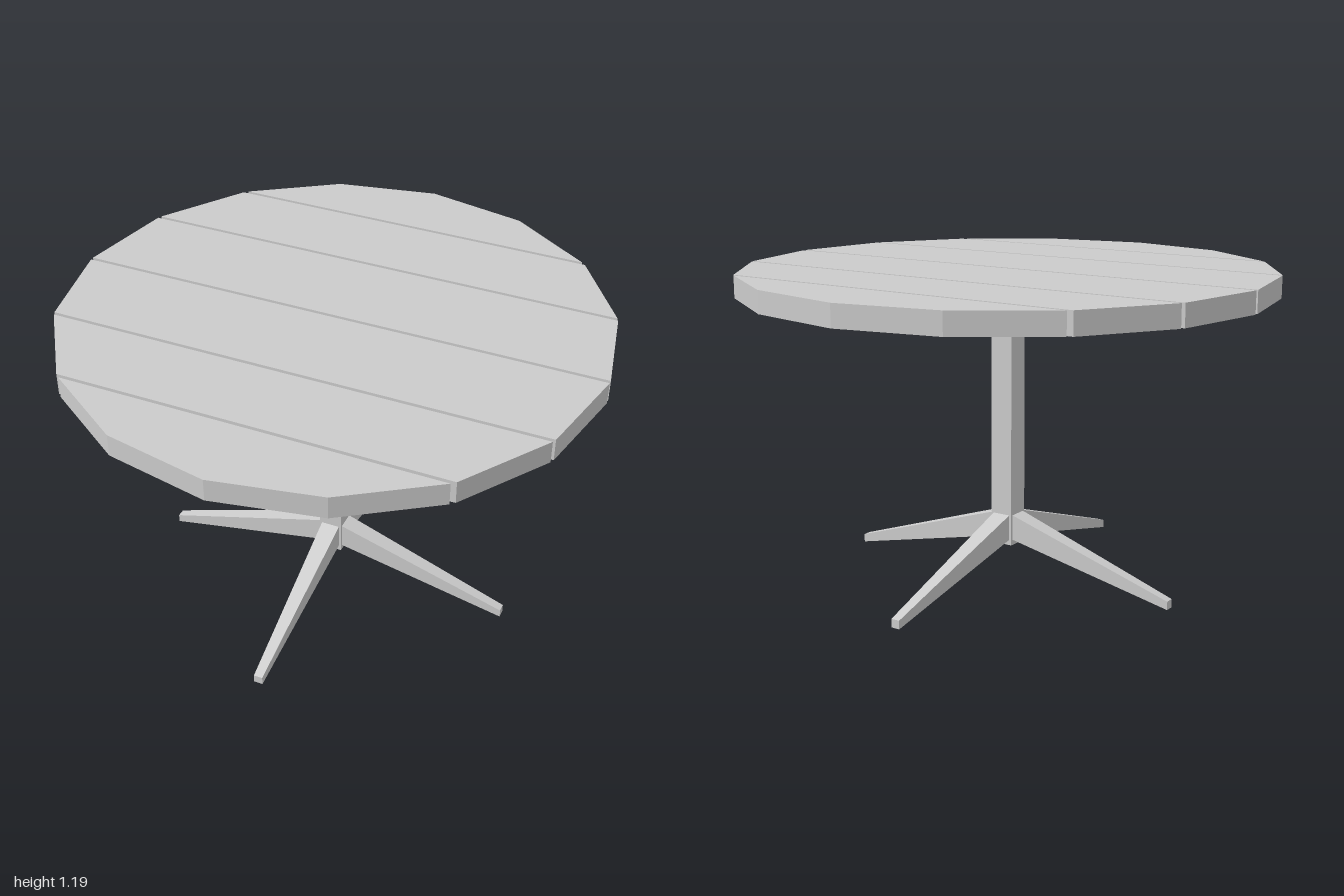
import * as THREE from 'three';

const material = new THREE.MeshStandardMaterial({ color: 0xcccccc, flatShading: true });

function add(group, geometry, name) {
  const mesh = new THREE.Mesh(geometry, material);
  mesh.name = name;
  group.add(mesh);
  return mesh;
}

// Half-width of the sixteen-sided top at depth z
const corner = (k) => [Math.cos(k * Math.PI / 8), Math.sin(k * Math.PI / 8)];
function halfWidth(z) {
  const k = Math.min(3, Math.floor(Math.asin(Math.abs(z)) / (Math.PI / 8)));
  const [x0, z0] = corner(k);
  const [x1, z1] = corner(k + 1);
  return x0 + (x1 - x0) * (Math.abs(z) - z0) / (z1 - z0);
}

// One plank of the top between depths za and zb; outer planks end in a point
function plankGeometry(za, zb, mid) {
  const rows = mid === null ? [za, zb] : [za, mid, zb];
  const right = rows.map((z) => new THREE.Vector2(halfWidth(z), z));
  const left = rows.map((z) => new THREE.Vector2(-halfWidth(z), z)).reverse();
  const shape = new THREE.Shape([...right, ...left]);
  const geometry = new THREE.ExtrudeGeometry(shape, { depth: 0.082, bevelEnabled: false });
  return geometry.rotateX(Math.PI / 2).translate(0, 1.187, 0);
}

// Leg tapering from the post out to a small tip on the floor
function legGeometry() {
  const geometry = new THREE.BoxGeometry(1, 1, 1);
  const p = geometry.attributes.position;
  for (let i = 0; i < p.count; i++) {
    const outer = p.getX(i) > 0;
    const top = p.getY(i) > 0;
    const side = Math.sign(p.getZ(i));
    if (outer) p.setXYZ(i, 0.705, top ? 0.032 : 0, side * 0.017);
    else p.setXYZ(i, 0.04, top ? 0.25 : 0.152, side * 0.036);
  }
  geometry.computeVertexNormals();
  return geometry;
}

export function createModel() {
  const table = new THREE.Group();
  table.name = 'roundTable';

  // Planked top with narrow gaps
  const top = new THREE.Group();
  top.name = 'tableTop';
  table.add(top);
  const gap = 0.007;
  const s = [0, corner(1)[1], corner(2)[1], corner(3)[1], 0.9999];
  add(top, plankGeometry(s[0] + gap, s[1] - gap, null), 'innerPlank');
  add(top, plankGeometry(s[1] + gap, s[2] - gap, null), 'middlePlank');
  add(top, plankGeometry(s[2] + gap, s[4], s[3]), 'outerPlank');
  for (const plank of [...top.children]) {
    add(top, plank.geometry, plank.name).rotation.y = Math.PI;
  }

  // Square centre post
  add(table, new THREE.BoxGeometry(0.09, 1.04, 0.09).translate(0, 0.65, 0), 'post');

  // Four splayed legs
  const leg = legGeometry();
  for (let i = 0; i < 4; i++) add(table, leg, 'leg').rotation.y = i * Math.PI / 2;

  return table;
}
